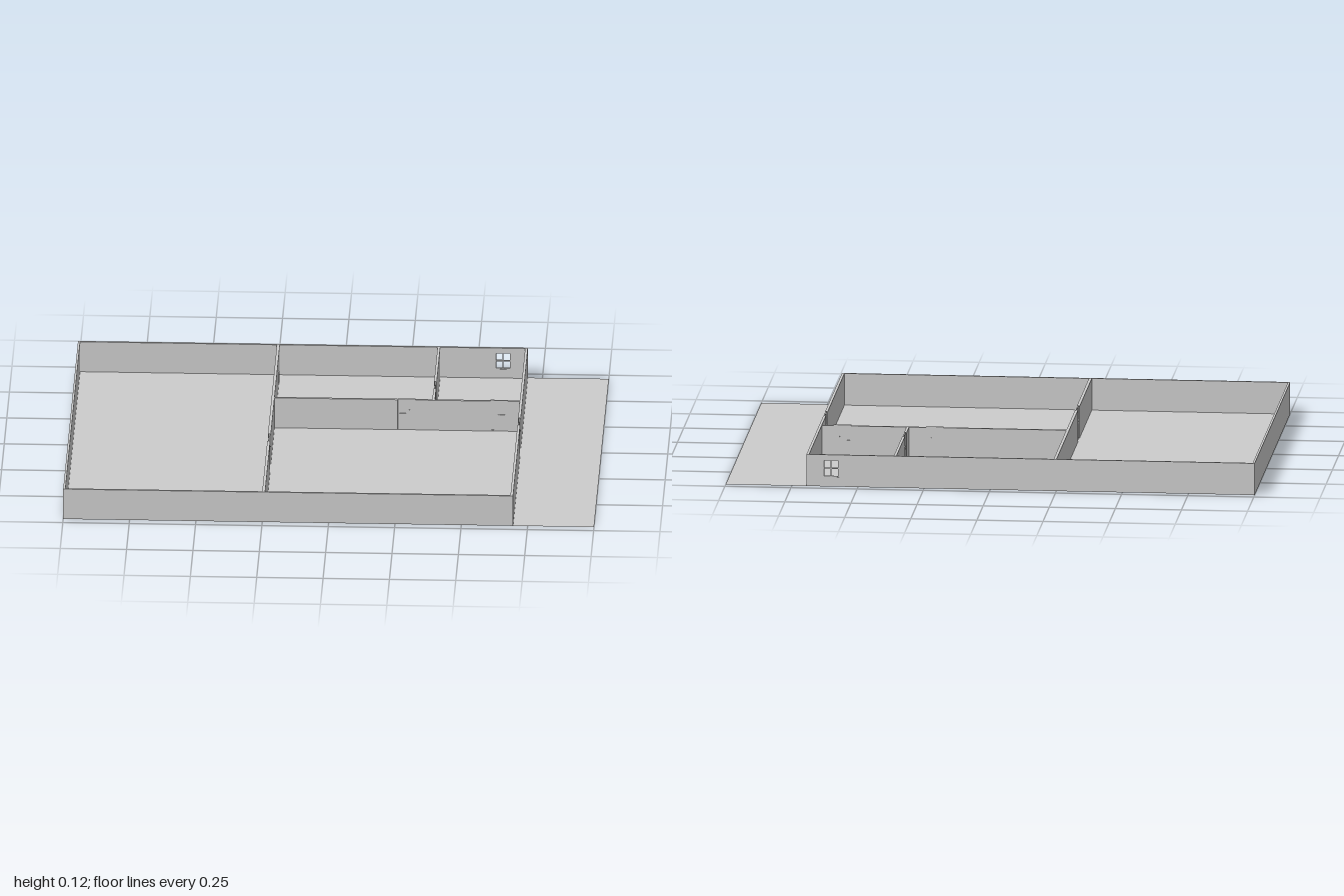
import * as THREE from 'three';

const H = 0.122, DOOR_H = 0.125, DOOR_W = 0.066;
const grey = new THREE.MeshStandardMaterial({ color: 0xcccccc, side: THREE.DoubleSide });

function box(parent, name, w, h, d, x, y, z) {
  const m = new THREE.Mesh(new THREE.BoxGeometry(w, h, d), grey);
  m.name = name;
  m.position.set(x, y, z);
  parent.add(m);
  return m;
}

// Wall running along local x from a to b, with full-height gaps at the door centres
function wall(name, a, b, thick, doors = []) {
  const g = new THREE.Group();
  g.name = name;
  let start = a;
  for (const c of [...doors, null]) {
    const end = c === null ? b : c - DOOR_W / 2;
    box(g, name + 'Section', end - start, H, thick, (start + end) / 2, H / 2, 0);
    if (c !== null) {
      const d = door();
      d.position.x = c;
      g.add(d);
      start = c + DOOR_W / 2;
    }
  }
  return g;
}

// Thin four-panel door with stiles, rails and a handle on both faces
function door() {
  const g = new THREE.Group();
  g.name = 'door';
  box(g, 'doorLeaf', DOOR_W, DOOR_H, 0.003, 0, DOOR_H / 2, 0);
  for (const x of [-0.031, 0, 0.031]) box(g, 'doorStile', 0.004, DOOR_H, 0.005, x, DOOR_H / 2, 0);
  for (const y of [0.002, 0.064, DOOR_H - 0.002]) box(g, 'doorRail', DOOR_W, 0.004, 0.005, 0, y, 0);
  box(g, 'doorHandle', 0.004, 0.004, 0.011, 0.012, 0.08, 0);
  return g;
}

// Open window with frame and crossed glazing bars
function windowFrame(w, h, d) {
  const g = new THREE.Group();
  g.name = 'window';
  for (const s of [-1, 0, 1]) {
    box(g, 'windowUpright', 0.004, h, d, s * (w / 2 - 0.002), 0, 0);
    box(g, 'windowBar', w, 0.004, d, 0, s * (h / 2 - 0.002), 0);
  }
  return g;
}

export function createModel() {
  const model = new THREE.Group();
  model.name = 'floorPlan';

  // Ground sheet
  const floor = new THREE.Mesh(new THREE.PlaneGeometry(2, 1.43), grey);
  floor.name = 'floor';
  floor.rotation.x = -Math.PI / 2;
  model.add(floor);

  // Walls along x
  const front = wall('frontWall', -1, 0.695, 0.008);
  front.position.z = 0.711;
  const partition = wall('roomPartition', -0.24, 0.685, 0.01, [0.258, 0.607]);
  partition.position.z = -0.2;
  model.add(front, partition);

  // Back wall with a window opening
  const shape = new THREE.Shape([[-1, 0], [0.695, 0], [0.695, H], [-1, H]].map(p => new THREE.Vector2(...p)));
  shape.holes.push(new THREE.Path([[0.572, 0.036], [0.572, 0.104], [0.632, 0.104], [0.632, 0.036]]
    .map(p => new THREE.Vector2(...p))));
  const back = new THREE.Mesh(new THREE.ExtrudeGeometry(shape, { depth: 0.008, bevelEnabled: false }), grey);
  back.name = 'backWall';
  back.position.z = -0.715;
  const win = windowFrame(0.06, 0.068, 0.006);
  win.position.set(0.602, 0.07, -0.711);
  model.add(back, win);

  // Walls along z: a quarter turn maps local x to -z
  const along = [
    ['rightWall', -0.996, -0.71, 0.71, 0.008, []],
    ['middleWall', -0.245, -0.71, 0.71, 0.011, [-0.187]],
    ['smallRoomWall', 0.36, 0.2, 0.71, 0.01, [0.34]],
    ['leftWall', 0.69, -0.71, 0.71, 0.01, [0.002]],
  ];
  for (const [name, x, a, b, t, doors] of along) {
    const w = wall(name, a, b, t, doors);
    w.rotation.y = Math.PI / 2;
    w.position.x = x;
    model.add(w);
  }

  // Small fitting on the middle wall
  box(model, 'wallPanel', 0.006, 0.035, 0.03, -0.239, 0.045, -0.58);
  return model;
}
